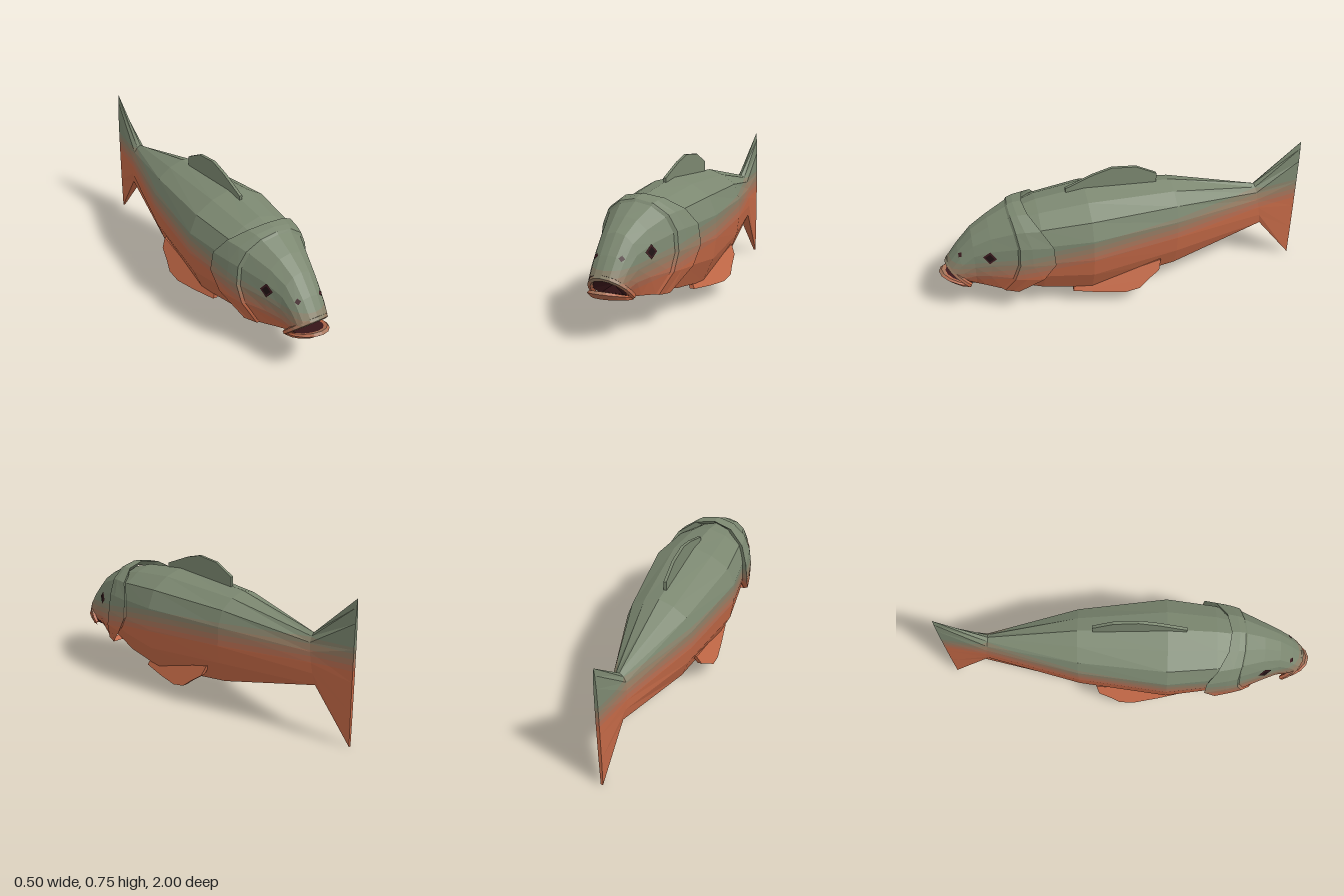
import * as THREE from 'three';

const mat = (name, color) => {
  const m = new THREE.MeshStandardMaterial({ color });
  m.name = name;
  return m;
};

// Skin colours from back to belly, blended in bands
const skin = [
  mat('olive back', 0x7b8770), mat('olive fade', 0x878069), mat('tan flank', 0x957b62),
  mat('copper flank', 0xa5745a), mat('rust flank', 0xb56c50), mat('orange belly', 0xc26846),
];
const LEVELS = [0.06, 0.03, 0, -0.03, -0.06];
const dark = mat('mouth dark', 0x3a171a);
const eyeDark = mat('eye maroon', 0x3c1c20);
const pupilDark = mat('pupil black', 0x1f1012);

// Height of the colour change along the fish
const STOPS = [[-1, 0.46], [-0.3, 0.44], [0.2, 0.41], [0.5, 0.36], [0.8, 0.29], [1.01, 0.27]];
function midHeight(z) {
  for (let i = 1; i < STOPS.length; i++) {
    const [z0, y0] = STOPS[i - 1], [z1, y1] = STOPS[i];
    if (z <= z1) return THREE.MathUtils.lerp(y0, y1, Math.max(0, (z - z0) / (z1 - z0)));
  }
  return 0.27;
}

// Keep the part of a polygon above (sign 1) or below (sign -1) a colour level
function clip(poly, level, sign) {
  const out = [];
  poly.forEach((p, i) => {
    const q = poly[(i + 1) % poly.length];
    const a = sign * (p.f - level), b = sign * (q.f - level);
    if (a >= 0) out.push(p);
    if ((a > 0 && b < 0) || (a < 0 && b > 0)) {
      const v = p.clone().lerp(q, a / (a - b));
      v.f = level;
      out.push(v);
    }
  });
  return out;
}

// Cut a surface into the skin bands, one material group each, with flat facets
function paint(name, source) {
  const geo = source.index ? source.toNonIndexed() : source;
  const pos = geo.attributes.position;
  const bands = skin.map(() => []);
  for (let i = 0; i < pos.count; i += 3) {
    const tri = [0, 1, 2].map(k => {
      const v = new THREE.Vector3().fromBufferAttribute(pos, i + k);
      v.f = v.y - midHeight(v.z);
      return v;
    });
    bands.forEach((band, b) => {
      let poly = tri;
      if (b > 0) poly = clip(poly, LEVELS[b - 1], -1);
      if (b < LEVELS.length && poly.length) poly = clip(poly, LEVELS[b], 1);
      for (let k = 2; k < poly.length; k++) {
        for (const v of [poly[0], poly[k - 1], poly[k]]) band.push(v.x, v.y, v.z);
      }
    });
  }
  const out = new THREE.BufferGeometry();
  out.setAttribute('position', new THREE.Float32BufferAttribute(bands.flat(), 3));
  let start = 0;
  bands.forEach((band, b) => {
    if (band.length) out.addGroup(start, band.length / 3, b);
    start += band.length / 3;
  });
  out.computeVertexNormals();
  const mesh = new THREE.Mesh(out, skin);
  mesh.name = name;
  return mesh;
}

// Surface through rows of [x, y, z] points
function loft(rows) {
  const data = [];
  for (let i = 0; i + 1 < rows.length; i++) {
    for (let j = 0; j + 1 < rows[i].length; j++) {
      const a = rows[i][j], b = rows[i + 1][j], c = rows[i + 1][j + 1], d = rows[i][j + 1];
      data.push(...a, ...b, ...d, ...b, ...c, ...d);
    }
  }
  const geo = new THREE.BufferGeometry();
  geo.setAttribute('position', new THREE.Float32BufferAttribute(data, 3));
  geo.computeVertexNormals();
  return geo;
}

// Half cross-sections, width and height from 0 to 1, top to bottom
const BODY = [[0, 1], [0.44, 0.945], [0.83, 0.84], [0.99, 0.665], [1, 0.445], [0.93, 0.24], [0.69, 0], [0, 0]];
const HEAD = [[0, 1], [0.42, 0.96], [0.77, 0.84], [0.95, 0.665], [1, 0.445], [0.95, 0.24], [0.7, 0], [0, 0]];

// Closed ring; sweep pulls its sides backward
function ring(profile, [zTop, zBot, top, bot, half, sweep = 0]) {
  const side = profile.map(([u, v]) => [
    u * half, bot + v * (top - bot), zBot + v * (zTop - zBot) - sweep * Math.sin(Math.PI * v),
  ]);
  const other = side.slice(0, -1).reverse().map(([x, y, z]) => [-x, y, z]);
  return [...side, ...other];
}

// Fin plate from a [z, y] outline, bent sideways by a rule
function fin(name, outline, thickness, offset) {
  const shape = new THREE.Shape(outline.map(([z, y]) => new THREE.Vector2(-z, y)));
  const geo = new THREE.ExtrudeGeometry(shape, { depth: thickness, bevelEnabled: false });
  geo.translate(0, 0, -thickness / 2).rotateY(Math.PI / 2);
  const p = geo.attributes.position;
  for (let i = 0; i < p.count; i++) p.setX(i, p.getX(i) + offset(p.getY(i), p.getZ(i)));
  return paint(name, geo);
}

export function createModel() {
  const group = new THREE.Group();
  group.name = 'fish';

  // Body and tail, back to front
  group.add(paint('tail', loft([
    [-1, -1, 0.76, 0.005, 0],
    [-1, -1, 0.76, 0.005, 0.009],
    [-0.75, -0.795, 0.53, 0.275, 0.045],
  ].map(r => ring(BODY, r)))));
  group.add(paint('body', loft([
    [-0.75, -0.795, 0.53, 0.275, 0.045],
    [-0.27, -0.27, 0.635, 0.165, 0.182],
    [0.2, 0.2, 0.662, 0.118, 0.246],
    [0.46, 0.46, 0.628, 0.148, 0.213],
    [0.62, 0.64, 0.58, 0.185, 0.16],
  ].map(r => ring(BODY, r)))));

  // Head with flared gill covers and a stepped cheek
  const mouthRing = [0.95, 0.85, 0.318, 0.2, 0.095];
  const head = paint('head', loft([
    [0.57, 0.63, 0.6, 0.185, 0.19, 0.16],
    [0.535, 0.6, 0.632, 0.165, 0.252, 0.17],
    [0.58, 0.63, 0.628, 0.165, 0.232, 0.09],
    [0.61, 0.67, 0.618, 0.17, 0.216, 0.06],
    [0.62, 0.68, 0.605, 0.174, 0.2, 0.06],
    [0.72, 0.76, 0.552, 0.185, 0.148, 0.02],
    [0.81, 0.81, 0.492, 0.19, 0.115],
    [0.89, 0.85, 0.4, 0.196, 0.102],
    mouthRing,
  ].map(r => ring(HEAD, r))));
  group.add(head);

  // Mouth lining, sloping inward
  const rim = ring(HEAD, mouthRing);
  const mouth = new THREE.Mesh(loft([rim, rim.map(() => [0, 0.25, 0.84])]), dark);
  mouth.name = 'mouthLining';
  group.add(mouth);

  // Arched rows across the jaw: width, back z, reach, base y, rise
  const arch = (w, z, reach, y, rise) => Array.from({ length: 9 }, (_, i) => {
    const a = (i / 4 - 1) * Math.PI / 2, c = Math.cos(a);
    return [w * Math.sin(a), y + rise * c, z + reach * c];
  });

  // Upper lip
  const lipPath = new THREE.CatmullRomCurve3(arch(0.108, 0.845, 0.105, 0.205, 0.1).map(p => new THREE.Vector3(...p)));
  group.add(paint('upperLip', new THREE.TubeGeometry(lipPath, 10, 0.014, 5)));

  // Lower jaw and its dark floor
  const jawRim = arch(0.085, 0.85, 0.115, 0.2, 0.045);
  group.add(paint('lowerJaw', loft([
    jawRim,
    arch(0.1, 0.85, 0.135, 0.205, 0.048),
    arch(0.108, 0.85, 0.15, 0.2, 0.042),
    arch(0.105, 0.84, 0.12, 0.187, 0.02),
    arch(0.08, 0.76, 0.02, 0.182, 0),
  ])));
  const floor = new THREE.Mesh(loft([arch(0.085, 0.82, 0, 0.2, 0), jawRim]), dark);
  floor.name = 'mouthFloor';
  group.add(floor);

  // Eyes and nostrils: diamond plates laid on the head surface
  const ray = new THREE.Raycaster();
  const plate = (name, from, dir, radius, lift, material) => {
    ray.set(new THREE.Vector3(...from), new THREE.Vector3(...dir));
    const hit = ray.intersectObject(head)[0];
    if (!hit) return;
    for (const s of [1, -1]) {
      const n = hit.face.normal.clone(), p = hit.point.clone().addScaledVector(n, lift);
      n.x *= s;
      p.x *= s;
      const mesh = new THREE.Mesh(new THREE.CircleGeometry(radius, 4), material);
      mesh.position.copy(p);
      mesh.quaternion.setFromUnitVectors(new THREE.Vector3(0, 0, 1), n);
      mesh.name = (s > 0 ? 'left' : 'right') + name;
      group.add(mesh);
    }
  };
  plate('Eye', [1, 0.395, 0.73], [-1, 0, 0], 0.037, 0.005, eyeDark);
  plate('Pupil', [1, 0.395, 0.73], [-1, 0, 0], 0.024, 0.007, pupilDark);
  plate('Nostril', [0.066, 0.385, 2], [0, 0, -1], 0.016, 0.004, eyeDark);

  // Back fin and the pair of lower fins
  group.add(fin('dorsalFin', [[0.3, 0.64], [0.3, 0.67], [0.15, 0.732], [0.05, 0.76], [-0.08, 0.747],
    [-0.19, 0.69], [-0.19, 0.62]], 0.016, () => 0));
  const lower = [[0.3, 0.125], [0.305, 0.105], [0.16, 0.09], [0.03, 0.083], [-0.05, 0.1],
    [-0.1, 0.14], [-0.165, 0.185], [-0.18, 0.238], [0.1, 0.165]];
  for (const s of [1, -1]) {
    group.add(fin(s > 0 ? 'leftLowerFin' : 'rightLowerFin', lower, 0.025,
      (y, z) => s * (0.15 + 0.5 * (0.12 - y) + 0.15 * (0.3 - z))));
  }
  return group;
}
